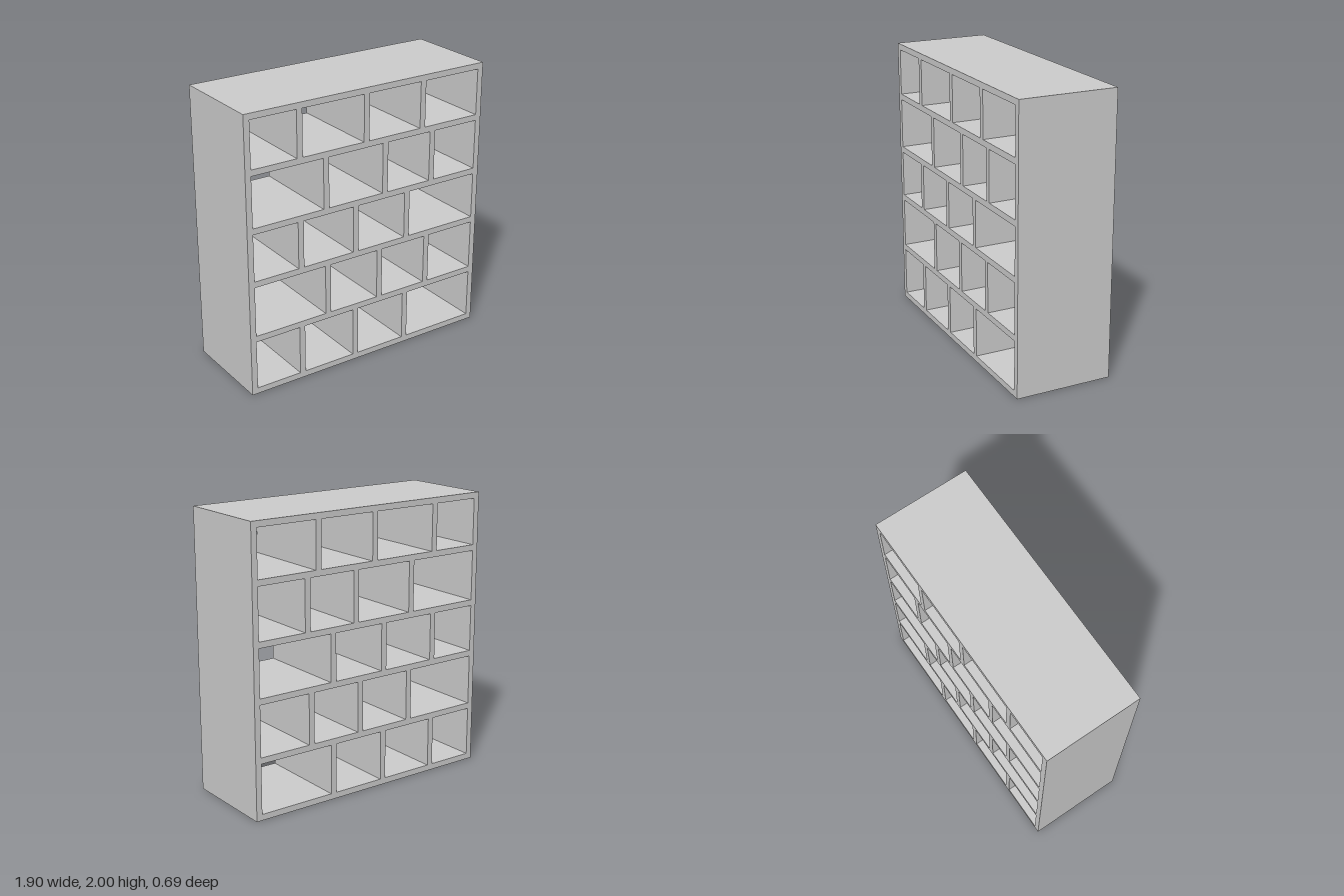
import * as THREE from 'three';

const HALF_WIDTH = 0.95, HEIGHT = 2, DEPTH = 0.695, BOARD = 0.043;

export function createModel() {
  const group = new THREE.Group();
  group.name = 'cubbyShelf';
  const material = new THREE.MeshStandardMaterial({ color: 0xcccccc, flatShading: true });

  // A board given by its left, right, bottom and top edges, running the full depth
  const board = (name, x0, x1, y0, y1) => {
    const mesh = new THREE.Mesh(new THREE.BoxGeometry(x1 - x0, y1 - y0, DEPTH), material);
    mesh.position.set((x0 + x1) / 2, (y0 + y1) / 2, 0);
    mesh.name = name;
    group.add(mesh);
  };

  const inner = HALF_WIDTH - BOARD;

  // Outer frame
  board('bottomPanel', -HALF_WIDTH, HALF_WIDTH, 0, BOARD);
  board('topPanel', -HALF_WIDTH, HALF_WIDTH, HEIGHT - BOARD, HEIGHT);
  board('rightPanel', -HALF_WIDTH, -inner, BOARD, HEIGHT - BOARD);
  board('leftPanel', inner, HALF_WIDTH, BOARD, HEIGHT - BOARD);

  // Underside heights of all horizontal boards, from bottom panel to top panel
  const levels = [0, 0.398, 0.802, 1.181, 1.584, HEIGHT - BOARD];
  levels.slice(1, -1).forEach((y, i) => board(`shelf${i + 1}`, -inner, inner, y, y + BOARD));

  // Divider centres in each row, bottom row first
  const rows = [
    [-0.546, -0.108, 0.321],
    [-0.334, 0.093, 0.501],
    [-0.546, -0.108, 0.321],
    [-0.345, 0.131, 0.527],
    [-0.546, -0.025, 0.438],
  ];
  rows.forEach((centres, r) => centres.forEach((x, i) =>
    board(`divider${r + 1}_${i + 1}`, x - BOARD / 2, x + BOARD / 2, levels[r] + BOARD, levels[r + 1])));

  return group;
}
